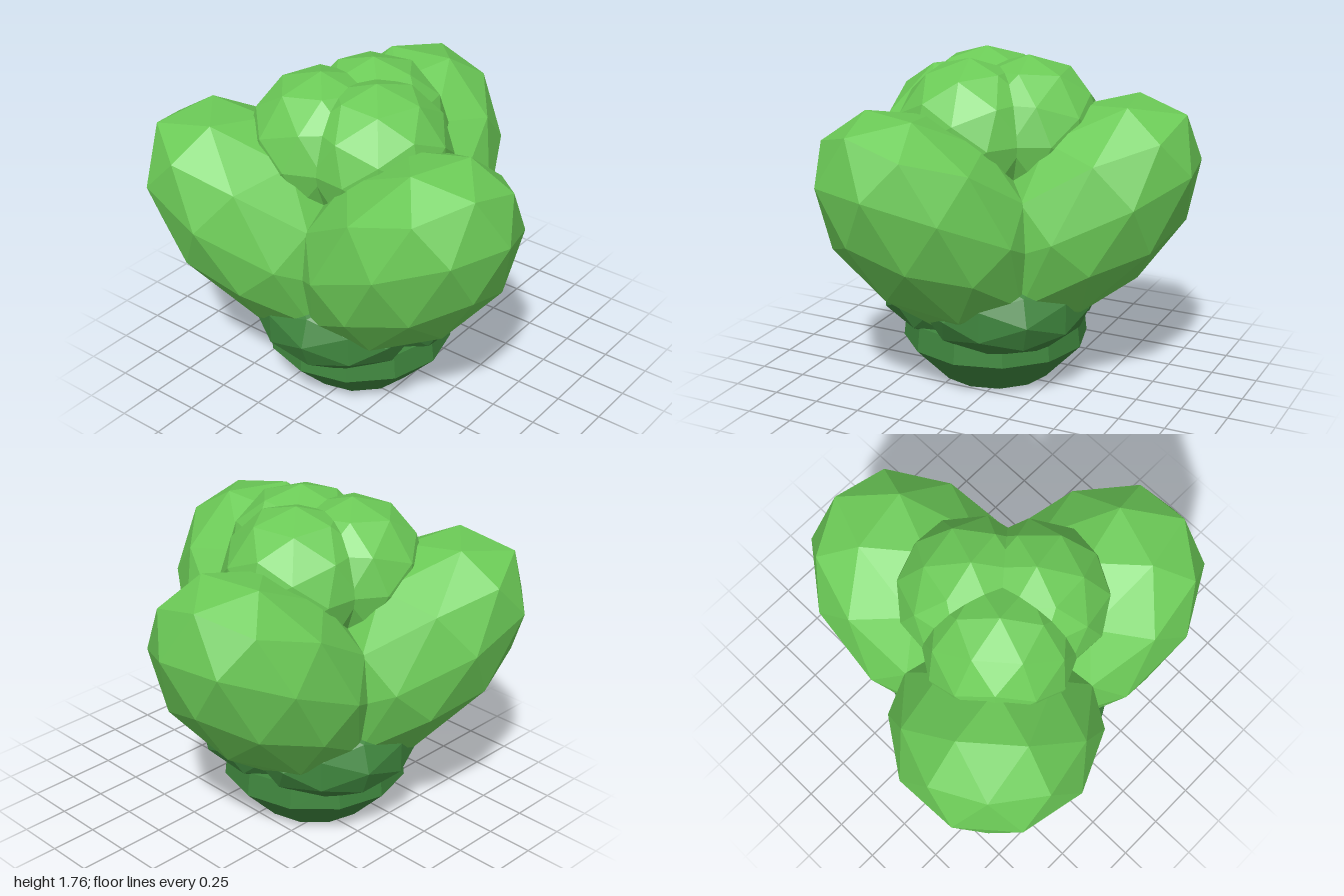
import * as THREE from 'three';

const bright = new THREE.MeshStandardMaterial({ color: 0x6ccb57 });
bright.name = 'leafGreen';
const dark = new THREE.MeshStandardMaterial({ color: 0x3f863e });
dark.name = 'deepGreen';

const rad = THREE.MathUtils.degToRad;

// Faceted ellipsoid: scaled, tilted outward, pushed out along +z
function blob(name, material, [sx, sy, sz], tilt, out, y, angle) {
  const geo = new THREE.IcosahedronGeometry(1, 1);
  geo.scale(sx, sy, sz);
  geo.rotateX(rad(tilt));
  geo.translate(0, y, out);
  geo.computeVertexNormals(); // unshared corners give flat facets
  const mesh = new THREE.Mesh(geo, material);
  mesh.name = name;
  mesh.rotation.y = rad(angle);
  return mesh;
}

// Faceted ring of the base between two heights
function frustum(name, rTop, rBottom, y0, y1) {
  const geo = new THREE.CylinderGeometry(rTop, rBottom, y1 - y0, 12).toNonIndexed();
  geo.translate(0, (y0 + y1) / 2, 0);
  geo.computeVertexNormals();
  const mesh = new THREE.Mesh(geo, dark);
  mesh.name = name;
  return mesh;
}

export function createModel() {
  const model = new THREE.Group();
  model.name = 'leafyPlant';
  const plant = new THREE.Group();
  plant.name = 'plant';
  plant.position.set(-0.07, 0, 0.105);
  model.add(plant);

  // Base
  plant.add(frustum('baseBowl', 0.5, 0.305, 0, 0.205));
  plant.add(frustum('baseRim', 0.485, 0.5, 0.205, 0.34));

  // Three of each leaf, the collar sitting in the gaps of the outer ring
  for (let i = 0; i < 3; i++) {
    const angle = 70.5 + i * 120;
    plant.add(blob('outerLeaf', bright, [0.556, 0.8, 0.473], 45, 0.44, 0.932, angle));
    plant.add(blob('innerLeaf', bright, [0.39, 0.39, 0.385], 0, 0.18, 1.37, angle));
    plant.add(blob('collarLeaf', dark, [0.46, 0.27, 0.41], 0, 0.22, 0.47, angle + 60));
  }
  return model;
}
